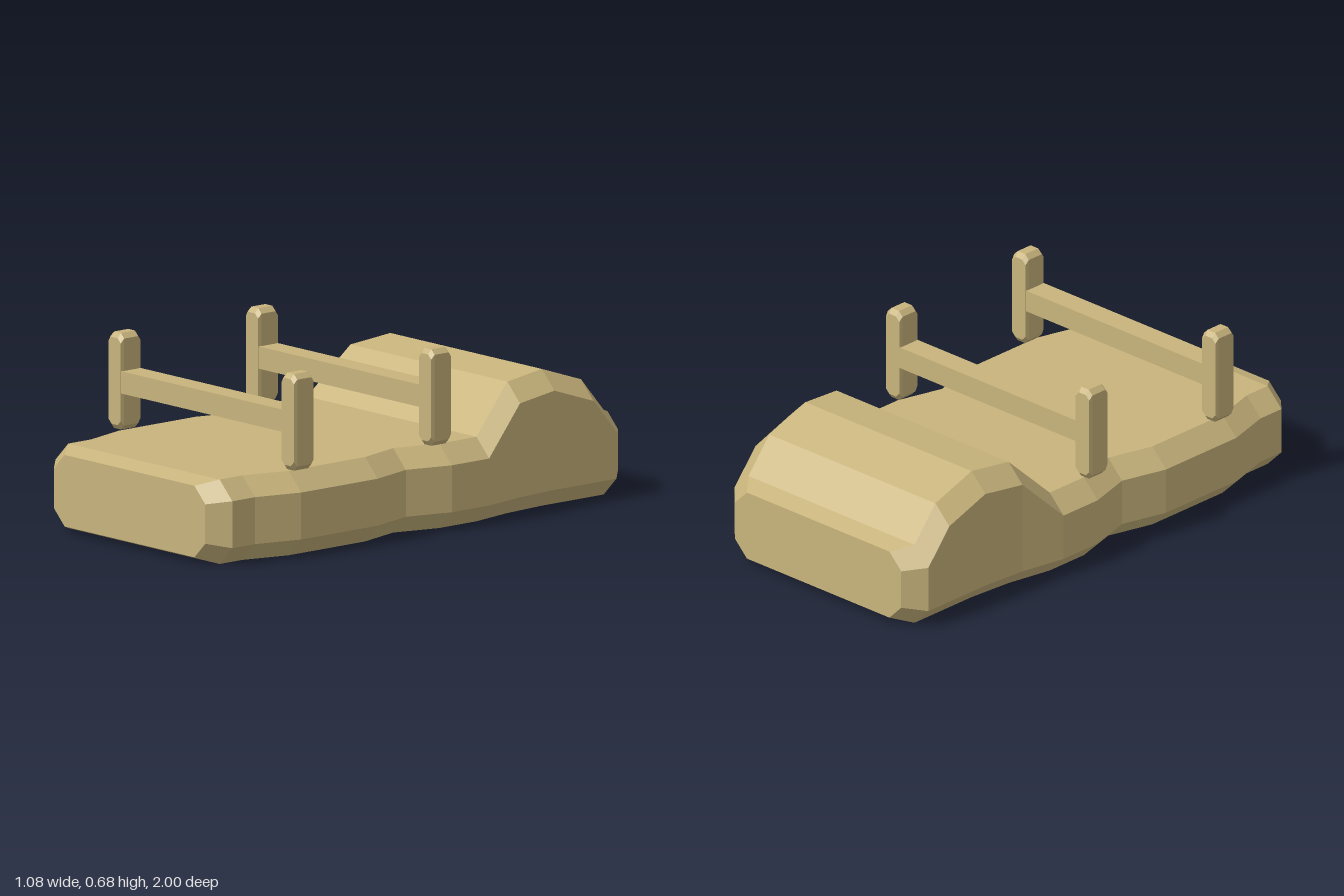
import * as THREE from 'three';

const material = new THREE.MeshStandardMaterial({ color: 0xc8b47c, flatShading: true });

// Octagonal cross-section: half width w, from y0 to y1, corners cut by c, counter-clockwise from +z
function ring([z, w, y0, y1, c]) {
  const t = w - c;
  return [[t, y0], [w, y0 + c], [w, y1 - c], [t, y1], [-t, y1], [-w, y1 - c], [-w, y0 + c], [-t, y0]]
    .map(([x, y]) => [x, y, z]);
}

// Skin a list of sections running from front to back, with both ends capped
function loft(sections) {
  const rings = sections.map(ring);
  const pos = [];
  const tri = (a, b, c) => pos.push(...a, ...b, ...c);
  for (let s = 0; s < rings.length - 1; s++) {
    const f = rings[s], b = rings[s + 1];
    for (let i = 0; i < 8; i++) {
      const j = (i + 1) % 8;
      tri(f[i], b[i], b[j]);
      tri(f[i], b[j], f[j]);
    }
  }
  const first = rings[0], last = rings[rings.length - 1];
  for (let i = 1; i < 7; i++) {
    tri(first[0], first[i], first[i + 1]);
    tri(last[0], last[i + 1], last[i]);
  }
  const g = new THREE.BufferGeometry();
  g.setAttribute('position', new THREE.Float32BufferAttribute(pos, 3));
  g.computeVertexNormals();
  return g;
}

function add(parent, name, geometry, x = 0, y = 0, z = 0) {
  const mesh = new THREE.Mesh(geometry, material);
  mesh.name = name;
  mesh.position.set(x, y, z);
  parent.add(mesh);
}

export function createModel() {
  const model = new THREE.Group();
  model.name = 'model';

  // Waisted base with a raised hump at the back: z, half width, top height
  const stations = [
    [0.93, 0.49, 0.315], [0.82, 0.49, 0.315], [0.64, 0.54, 0.315], [0.27, 0.54, 0.315],
    [0.09, 0.49, 0.315], [-0.09, 0.54, 0.315], [-0.27, 0.54, 0.315], [-0.45, 0.505, 0.49],
    [-0.63, 0.49, 0.51], [-0.82, 0.49, 0.445], [-0.93, 0.49, 0.315],
  ];
  add(model, 'base', loft([
    [1, 0.42, 0.025, 0.292, 0.06],
    ...stations.map(([z, w, top]) => [z, w, 0, top, 0.07]),
    [-1, 0.42, 0.025, 0.292, 0.06],
  ]));

  // Two H-shaped frames: chamfered posts joined by a crossbar
  const post = loft([
    [0.048, 0.034, -0.162, 0.162, 0.017],
    [0.034, 0.037, -0.18, 0.18, 0.018],
    [-0.034, 0.037, -0.18, 0.18, 0.018],
    [-0.048, 0.034, -0.162, 0.162, 0.017],
  ]);
  const bar = new THREE.BoxGeometry(0.91, 0.083, 0.092);
  for (const [name, z] of [['frontFrame', 0.605], ['rearFrame', -0.06]]) {
    const frame = new THREE.Group();
    frame.name = name;
    frame.position.set(0, 0.5, z);
    add(frame, 'leftPost', post, 0.48);
    add(frame, 'rightPost', post, -0.48);
    add(frame, 'crossbar', bar);
    model.add(frame);
  }
  return model;
}
